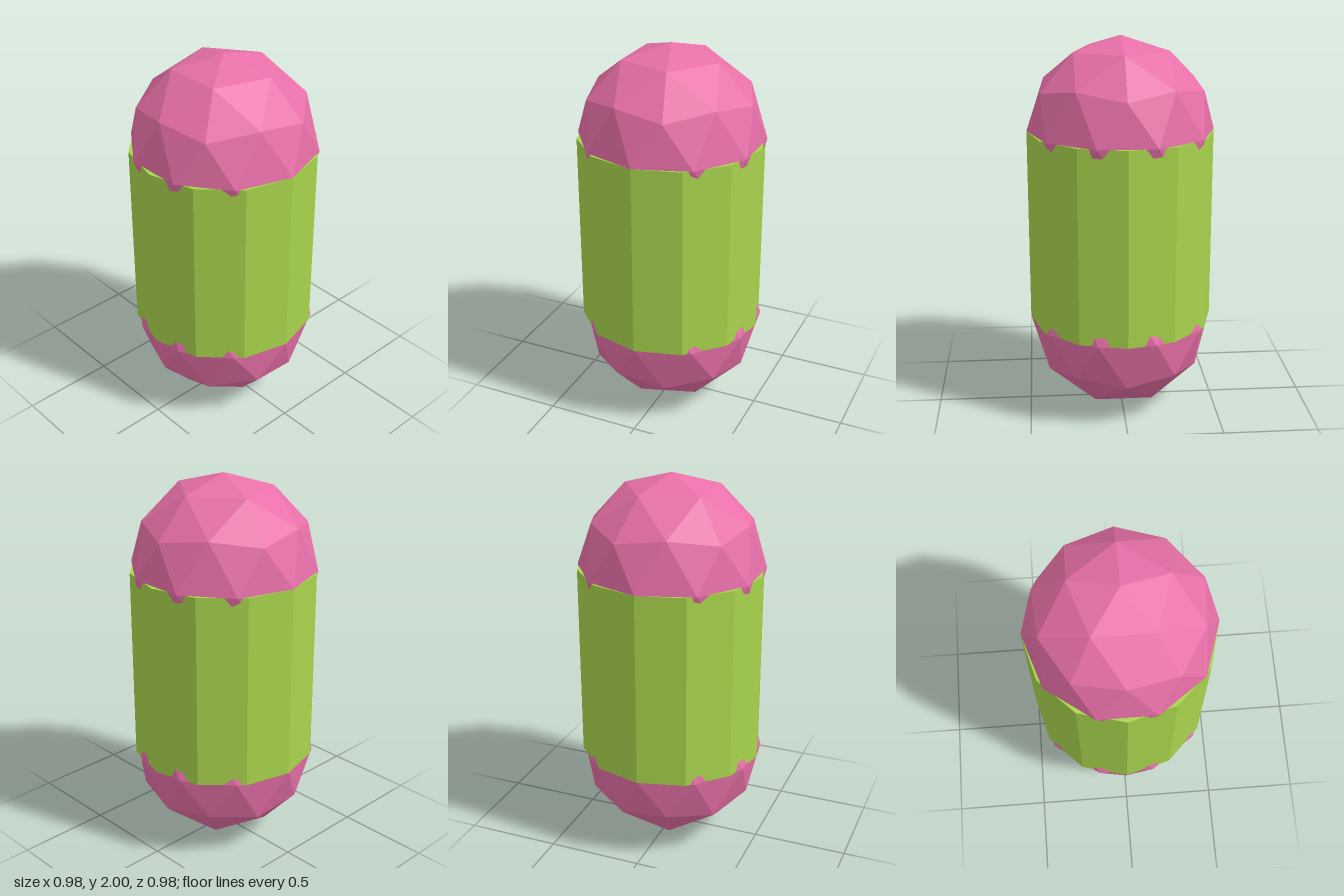
import * as THREE from 'three';

const R = 0.488; // radius shared by the body and both end domes

export function createModel() {
  const group = new THREE.Group();
  group.name = 'capsule';
  const green = new THREE.MeshStandardMaterial({ color: 0xa8d44c, flatShading: true });
  const pink = new THREE.MeshStandardMaterial({ color: 0xe870a8, flatShading: true });

  // twelve-sided capped body
  const body = new THREE.Mesh(new THREE.CylinderGeometry(R, R, 2 - 2 * R, 12), green);
  body.name = 'body';
  body.position.y = 1;
  group.add(body);

  // faceted spheres at both ends, turned so that a vertex points straight up
  const sphere = new THREE.IcosahedronGeometry(R, 1);
  sphere.rotateZ(Math.atan(2 / (1 + Math.sqrt(5))));
  sphere.rotateY(Math.PI);
  for (const [name, y] of [['topDome', 2 - R], ['bottomDome', R]]) {
    const dome = new THREE.Mesh(sphere, pink);
    dome.name = name;
    dome.position.y = y;
    group.add(dome);
  }
  return group;
}
